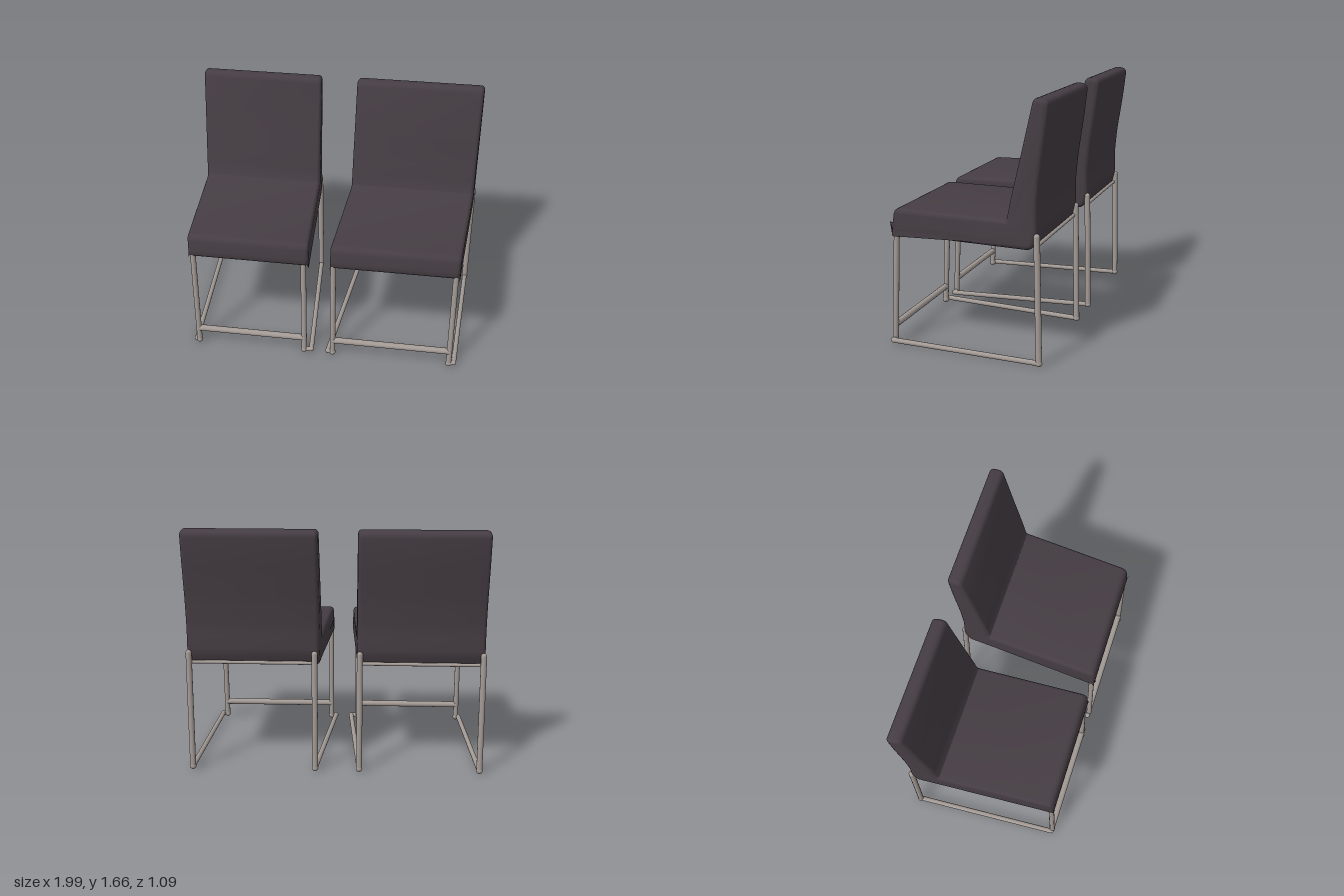
import * as THREE from 'three';
import { toCreasedNormals } from 'three/addons/utils/BufferGeometryUtils.js';

const fabric = new THREE.MeshStandardMaterial({ color: 0x453d43 });
fabric.name = 'charcoal fabric';
const metal = new THREE.MeshStandardMaterial({ color: 0xa39a95 });
metal.name = 'satin metal';

// Side outline of the upholstered shell: [z, y, corner size]
const PROFILE = [
  [0.515, 0.74, 0.042], [0.522, 0.79, 0.02], [0.505, 0.912, 0.045],
  [-0.275, 0.915, 0.012], [-0.305, 1.06, 0.05], [-0.365, 1.31, 0.05],
  [-0.448, 1.668, 0.042], [-0.546, 1.655, 0.042], [-0.525, 1.46, 0.05],
  [-0.485, 1.18, 0.05], [-0.47, 1.0, 0.05], [-0.475, 0.84, 0.03], [-0.445, 0.74, 0.045],
];

// Closed shape with each corner softened by a curve
function roundedShape(points) {
  const shape = new THREE.Shape();
  const n = points.length;
  points.forEach(([x, y, r], i) => {
    const p = new THREE.Vector2(x, y);
    const toward = ([qx, qy]) => new THREE.Vector2(qx, qy).sub(p).setLength(r).add(p);
    const a = toward(points[(i + n - 1) % n]);
    const b = toward(points[(i + 1) % n]);
    if (i === 0) shape.moveTo(a.x, a.y);
    else shape.lineTo(a.x, a.y);
    shape.quadraticCurveTo(p.x, p.y, b.x, b.y);
  });
  shape.closePath();
  return shape;
}

// Seat and back in one padded piece, skewed sideways from rear to front
function makeUpholstery(rear, front) {
  const bevel = 0.03;
  const geo = new THREE.ExtrudeGeometry(roundedShape(PROFILE), {
    depth: 1 - 2 * bevel, bevelEnabled: true, bevelThickness: bevel,
    bevelSize: bevel, bevelOffset: -bevel, bevelSegments: 5, curveSegments: 6,
  });
  geo.translate(0, 0, bevel - 0.5).rotateY(-Math.PI / 2);
  const pos = geo.attributes.position;
  for (let i = 0; i < pos.count; i++) {
    const t = (pos.getZ(i) + 0.5) / 1.02;
    const lo = THREE.MathUtils.lerp(rear[0], front[0], t);
    const hi = THREE.MathUtils.lerp(rear[1], front[1], t);
    pos.setX(i, lo + (pos.getX(i) + 0.5) * (hi - lo));
  }
  const mesh = new THREE.Mesh(toCreasedNormals(geo, 0.75), fabric);
  mesh.name = 'upholsteredSeatAndBack';
  return mesh;
}

// Straight round bar between two points
function bar(name, from, to, radius = 0.019) {
  const a = new THREE.Vector3(...from);
  const b = new THREE.Vector3(...to);
  const dir = b.clone().sub(a);
  const mesh = new THREE.Mesh(new THREE.CylinderGeometry(radius, radius, dir.length(), 14), metal);
  mesh.position.copy(a).add(b).multiplyScalar(0.5);
  mesh.quaternion.setFromUnitVectors(new THREE.Vector3(0, 1, 0), dir.normalize());
  mesh.name = name;
  return mesh;
}

// Rounded joint where bars meet
function joint(name, at, radius = 0.0195) {
  const mesh = new THREE.Mesh(new THREE.SphereGeometry(radius, 14, 10), metal);
  mesh.position.set(...at);
  mesh.name = name;
  return mesh;
}

function makeChair(name, c) {
  const chair = new THREE.Group();
  chair.name = name;
  chair.add(makeUpholstery(c.rear, c.front));

  const frame = new THREE.Group();
  frame.name = 'sledFrame';
  for (const s of c.sides) {
    const rearFoot = [s.rearX, 0.025, -0.492];
    const frontFoot = [s.frontX, 0.022, 0.525];
    const runnerEnd = [s.footX, 0.025, 0.522];
    frame.add(
      bar('rearLeg', rearFoot, [s.rearX, 0.83, -0.474], 0.02),
      joint('rearLegTop', [s.rearX, 0.83, -0.474], 0.02),
      bar('frontLeg', frontFoot, [s.frontX, 0.77, 0.494]),
      bar('floorRunner', rearFoot, runnerEnd, 0.017),
      bar('footLink', runnerEnd, frontFoot, 0.017),
      joint('rearFoot', rearFoot, 0.022),
      joint('frontFoot', frontFoot, 0.022),
      joint('runnerEnd', runnerEnd, 0.018),
    );
  }
  const [p, q] = c.sides;
  frame.add(
    bar('frontStretcher', [p.frontX, 0.125, 0.521], [q.frontX, 0.125, 0.521], 0.022),
    bar('rearSeatRail', [p.rearX, 0.765, -0.465], [q.rearX, 0.765, -0.465], 0.012),
  );
  chair.add(frame);
  return chair;
}

export function createModel() {
  const model = new THREE.Group();
  model.name = 'pairOfDiningChairs';
  model.add(
    makeChair('rightChair', {
      rear: [-0.992, -0.148], front: [-0.918, -0.092],
      sides: [
        { rearX: -0.976, frontX: -0.892, footX: -0.912 },
        { rearX: -0.163, frontX: -0.131, footX: -0.08 },
      ],
    }),
    makeChair('leftChair', {
      rear: [0.106, 0.988], front: [0.05, 0.915],
      sides: [
        { rearX: 0.136, frontX: 0.072, footX: 0.038 },
        { rearX: 0.972, frontX: 0.89, footX: 0.925 },
      ],
    }),
  );
  return model;
}
